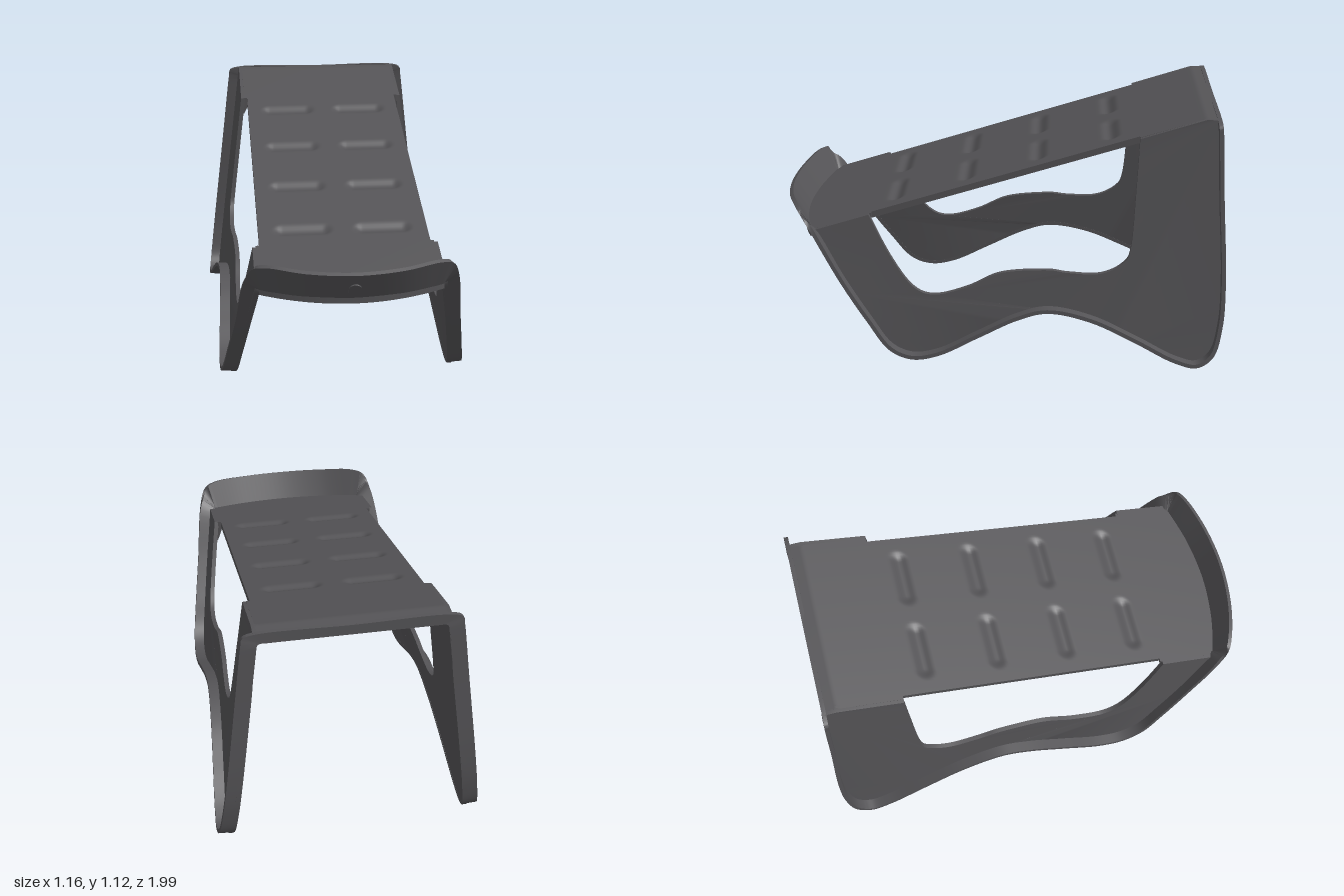
import * as THREE from 'three';
import { toCreasedNormals } from 'three/addons/utils/BufferGeometryUtils.js';

const plastic = new THREE.MeshStandardMaterial({ color: 0x555457 });
plastic.name = 'dark grey plastic';

// Height of the sloped seat's top, and outward lean of the side panels
const seatY = z => Math.min(1.12, 0.575 + 0.315 * (0.85 - z));
const panelX = (z, y) => 0.40 + (0.14 + 0.02 * z) * Math.max(0, seatY(z) - y);

// Side panel edge [z, y] from the front, under the feet, to the back
const edge = [[0.84, 0.56], [0.72, 0.36], [0.6, 0.18], [0.5, 0.05], [0.4, 0.01], [0.28, 0.03],
  [0.1, 0.12], [-0.08, 0.21], [-0.21, 0.245], [-0.4, 0.21], [-0.6, 0.12], [-0.78, 0.03],
  [-0.88, 0.01], [-0.95, 0.06], [-0.985, 0.2], [-0.99, 0.4], [-0.965, 0.8], [-0.95, 1.07]];
// Edge of the side opening, from the back to the front
const opening = [[-0.6, 1.03], [-0.59, 0.8], [-0.575, 0.55], [-0.54, 0.47], [-0.44, 0.42], [-0.3, 0.42],
  [-0.2, 0.43], [0, 0.41], [0.15, 0.34], [0.3, 0.3], [0.4, 0.34], [0.5, 0.48], [0.59, 0.657]];

const vec2 = ([a, b]) => new THREE.Vector2(a, b);
const vec3 = p => new THREE.Vector3(...p);
const smooth = (pts, n) => new THREE.SplineCurve(pts.map(vec2)).getPoints(n);

function add(group, name, geometry) {
  const mesh = new THREE.Mesh(geometry, plastic);
  mesh.name = name;
  group.add(mesh);
  return mesh;
}

// Mirror a geometry across x = 0, keeping the faces outward
function mirrored(geometry) {
  const g = geometry.index ? geometry.toNonIndexed() : geometry.clone();
  g.scale(-1, 1, 1);
  for (const attr of Object.values(g.attributes)) {
    const a = attr.array, s = attr.itemSize;
    for (let i = 0; i < a.length; i += 3 * s) {
      for (let k = 0; k < s; k++) {
        [a[i + s + k], a[i + 2 * s + k]] = [a[i + 2 * s + k], a[i + s + k]];
      }
    }
  }
  g.computeVertexNormals();
  return toCreasedNormals(g, 0.6);
}

function addPair(group, name, geometry) {
  add(group, name + 'Left', geometry);
  add(group, name + 'Right', mirrored(geometry));
}

// Depth of the eight pressed grip dents
function dent(x, z) {
  let depth = 0;
  for (const zc of [-0.48, -0.16, 0.16, 0.48]) {
    const d = Math.hypot(Math.max(Math.abs(Math.abs(x) - 0.175) - 0.09, 0), z - zc);
    depth += 0.008 * (1 + Math.cos(Math.PI * Math.min(1, d / 0.045)));
  }
  return depth;
}

// Piece of the seat sheet, bulging forward at its front end
function slab(x0, x1, z0, z1, nx, nz) {
  const g = new THREE.BoxGeometry(x1 - x0, 1, z1 - z0, nx, 1, nz);
  g.translate((x0 + x1) / 2, 0, (z0 + z1) / 2);
  const p = g.attributes.position;
  for (let i = 0; i < p.count; i++) {
    const x = p.getX(i);
    let z = p.getZ(i);
    if (z > 0.6) z += (z - 0.6) / 0.25 * 0.08 * (1 - (x / 0.4) ** 2);
    const y = 0.575 + 0.315 * (0.85 - z);
    p.setXYZ(i, x, Math.min(1.12, y) - (p.getY(i) > 0 ? 0 : 0.03) - dent(x, z), z);
  }
  g.computeVertexNormals();
  return g;
}

function sidePanel() {
  const outline = [...smooth(edge, 100), vec2([-0.94, 1.12]), vec2([-0.88, 1.12]),
    ...smooth(opening, 70), vec2([0.84, 0.578])];
  const g = new THREE.ExtrudeGeometry(new THREE.Shape(outline), { depth: 0.02, bevelEnabled: false });
  const p = g.attributes.position;
  for (let i = 0; i < p.count; i++) {
    const z = p.getX(i), y = p.getY(i);
    p.setXYZ(i, panelX(z, y) - p.getZ(i), y, z);
  }
  g.computeVertexNormals();
  return toCreasedNormals(g, 0.6);
}

// One flange running round the front lip, both sides and the back edge
function flange() {
  const base = [[0, 0.545, 0.93], [0.2, 0.55, 0.91], [0.34, 0.56, 0.872], [0.385, 0.565, 0.855]];
  const rim = [[0, 0.665, 0.998], [0.2, 0.672, 0.977], [0.36, 0.685, 0.928], [0.415, 0.67, 0.9]];
  edge.forEach(([z, y], i) => {
    const x = panelX(z, y);
    base.push([x - 0.022, y, z]);
    rim.push(i === 0 ? [0.447, 0.60, 0.852] : [x + 0.045, y + 0.004, z]);
  });
  base.push([0.375, 1.075, -0.948], [0.34, 1.075, -0.947], [0, 1.075, -0.947]);
  rim.push([0.445, 1.105, -0.947], [0.405, 1.12, -0.945], [0, 1.12, -0.945]);

  const loop = pts => new THREE.CatmullRomCurve3([...pts,
    ...pts.slice(1, -1).reverse().map(([x, y, z]) => [-x, y, z])].map(vec3), true);
  const baseCurve = loop(base), rimCurve = loop(rim);
  const n = 8 * baseCurve.points.length;
  const pos = [], index = [];
  for (let i = 0; i < n; i++) {
    const b = baseCurve.getPoint(i / n), r = rimCurve.getPoint(i / n);
    const across = r.clone().sub(b);
    const thick = across.cross(baseCurve.getTangent(i / n)).setLength(0.018);
    for (const v of [b, r, r.clone().add(thick), b.clone().add(thick)]) pos.push(v.x, v.y, v.z);
    const j = (i + 1) % n;
    for (let k = 0; k < 4; k++) {
      const m = (k + 1) % 4;
      index.push(4 * i + k, 4 * j + k, 4 * i + m, 4 * i + m, 4 * j + k, 4 * j + m);
    }
  }
  const g = new THREE.BufferGeometry();
  g.setAttribute('position', new THREE.Float32BufferAttribute(pos, 3));
  g.setIndex(index);
  g.computeVertexNormals();
  return toCreasedNormals(g, 0.7);
}

export function createModel() {
  const group = new THREE.Group();
  group.name = 'slopedFootrest';

  add(group, 'seat', slab(-0.37, 0.37, -0.94, 0.85, 74, 180));
  addPair(group, 'seatBackCorner', slab(0.37, 0.385, -0.94, -0.6, 1, 34));
  addPair(group, 'seatFrontCorner', slab(0.37, 0.385, 0.58, 0.85, 1, 8));
  addPair(group, 'sidePanel', sidePanel());
  add(group, 'edgeFlange', flange());

  // Ribs under the seat, with a gusset at each end
  for (const [name, z, drop] of [['front', 0.62, 0.09], ['back', -0.63, 0.07]]) {
    const y = seatY(z) - 0.025;
    const rib = add(group, name + 'Rib', new THREE.BoxGeometry(0.74, 0.02, 0.012));
    rib.position.set(0, y - 0.008, z);
    const corner = new THREE.Shape([[0.34, y], [0.365, y - 0.03], [0.385, y - drop], [0.4, y - drop], [0.395, y]].map(vec2));
    const gusset = new THREE.ExtrudeGeometry(corner, { depth: 0.014, bevelEnabled: false });
    addPair(group, name + 'Gusset', gusset.translate(0, 0, z - 0.007));
  }

  // Small arched tab on the front lip
  const arch = new THREE.Shape();
  arch.moveTo(-0.026, -0.02);
  arch.lineTo(0.026, -0.02);
  arch.absarc(0, 0, 0.026, 0, Math.PI, false);
  const tab = add(group, 'lipTab', new THREE.ExtrudeGeometry(arch, { depth: 0.007, bevelEnabled: false }));
  tab.position.set(0, 0.597, 0.958);
  tab.rotation.x = 0.51;

  return group;
}
